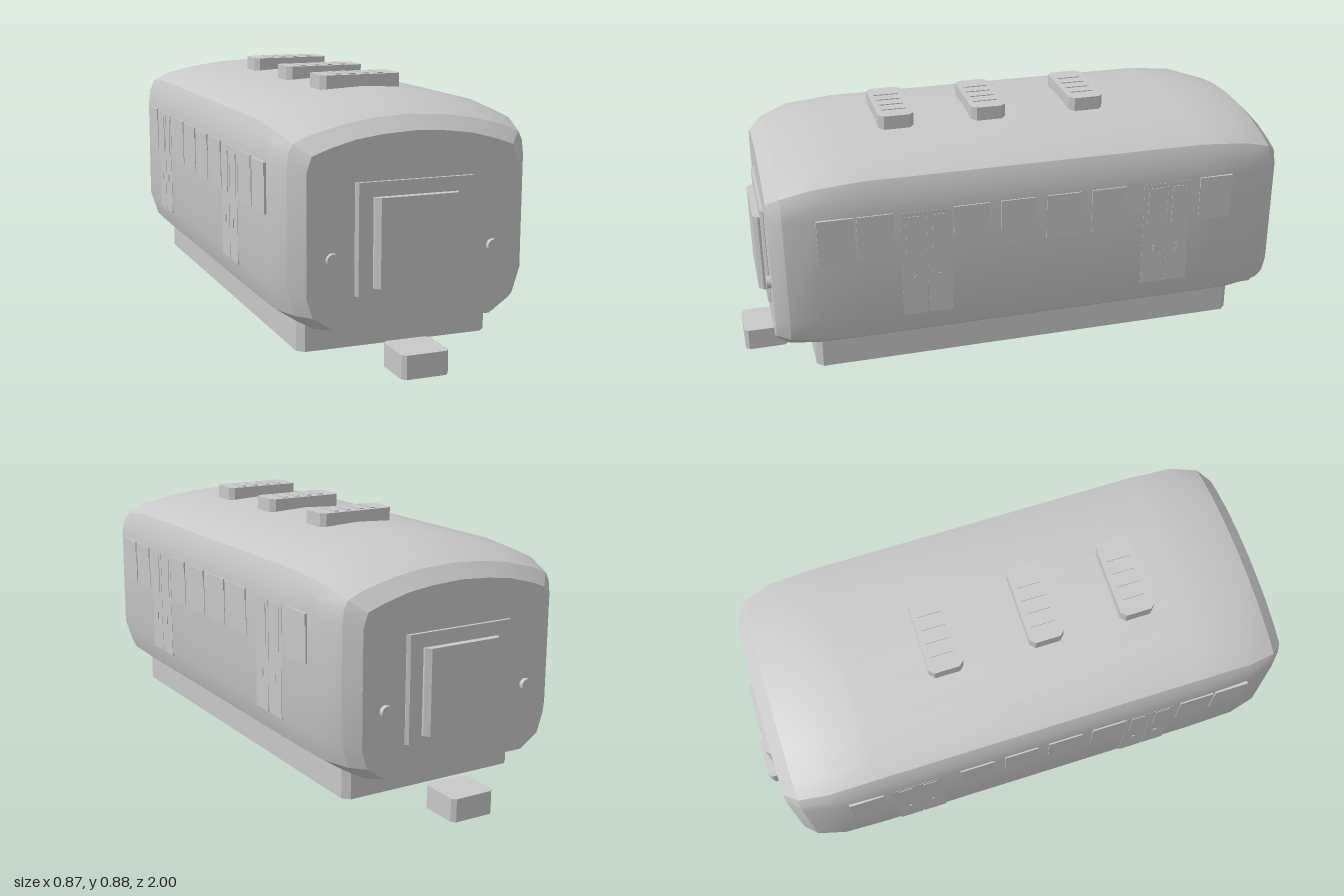
import * as THREE from 'three';
import { toCreasedNormals } from 'three/addons/utils/BufferGeometryUtils.js';

const grey = new THREE.MeshStandardMaterial({ color: 0xc8c8c8 });
grey.name = 'plain grey';

// Half cross-sections from roof centre to floor, [x, y]
const FULL = [[0, 0.836], [0.12, 0.83], [0.23, 0.816], [0.345, 0.791], [0.403, 0.762], [0.423, 0.715],
  [0.43, 0.65], [0.43, 0.28], [0.4, 0.187], [0.335, 0.145]];
const TAPER = [[0, 0.822], [0.12, 0.816], [0.23, 0.801], [0.34, 0.777], [0.4, 0.748], [0.419, 0.705],
  [0.425, 0.645], [0.425, 0.279], [0.396, 0.188], [0.332, 0.145]];
const SHOULDER = [[0, 0.79], [0.115, 0.784], [0.215, 0.769], [0.322, 0.742], [0.378, 0.718], [0.392, 0.69],
  [0.398, 0.645], [0.398, 0.275], [0.372, 0.193], [0.312, 0.146]];
const END = [[0, 0.746], [0.105, 0.74], [0.195, 0.728], [0.28, 0.705], [0.335, 0.685], [0.343, 0.664],
  [0.352, 0.635], [0.352, 0.255], [0.332, 0.193], [0.265, 0.148]];

// Loft the carriage shell through its cross-sections and cap both ends
function shellGeometry() {
  const stations = [[0.9, END], [0.855, SHOULDER], [0.755, TAPER], [0.59, FULL],
    [-0.59, FULL], [-0.755, TAPER], [-0.855, SHOULDER], [-0.9, END]];
  const rings = stations.map(([z, half]) => {
    const other = half.slice(1).reverse().map(([x, y]) => [-x, y]);
    return [...half, ...other].map(([x, y]) => [x, y, z]);
  });
  const n = rings[0].length, pos = [], index = [];
  rings.forEach(r => r.forEach(p => pos.push(...p)));
  for (let s = 0; s < rings.length - 1; s++) {
    for (let i = 0; i < n; i++) {
      const a = s * n + i, b = s * n + (i + 1) % n, c = a + n, d = b + n;
      index.push(a, b, c, b, d, c);
    }
  }
  const last = (rings.length - 1) * n, centre = pos.length / 3;
  pos.push(0, 0.45, 0.9, 0, 0.45, -0.9);
  for (let i = 0; i < n; i++) {
    const j = (i + 1) % n;
    index.push(centre, j, i, centre + 1, last + i, last + j);
  }
  const g = new THREE.BufferGeometry();
  g.setAttribute('position', new THREE.Float32BufferAttribute(pos, 3));
  g.setIndex(index);
  return toCreasedNormals(g, 0.4);
}

// Upright block with chamfered vertical corners, resting on y = 0
function chamferedBlock(w, h, d, c) {
  const x = w / 2, z = d / 2;
  const corners = [[-x + c, -z], [x - c, -z], [x, -z + c], [x, z - c],
    [x - c, z], [-x + c, z], [-x, z - c], [-x, -z + c]];
  const shape = new THREE.Shape(corners.map(p => new THREE.Vector2(...p)));
  return new THREE.ExtrudeGeometry(shape, { depth: h, bevelEnabled: false }).rotateX(-Math.PI / 2);
}

function add(parent, name, geometry, x = 0, y = 0, z = 0) {
  const m = new THREE.Mesh(geometry, grey);
  m.name = name;
  m.position.set(x, y, z);
  parent.add(m);
}

export function createModel() {
  const model = new THREE.Group();
  model.name = 'railCarriage';
  add(model, 'shell', shellGeometry());
  add(model, 'underframe', chamferedBlock(0.66, 0.105, 1.54, 0.022), 0, 0.045, 0);

  // Roof ventilators with four slats each
  for (const z of [0.425, 0.1, -0.255]) {
    const vent = new THREE.Group();
    vent.name = 'roofVent';
    vent.position.set(0, 0.825, z);
    add(vent, 'ventBox', chamferedBlock(0.285, 0.05, 0.122, 0.017));
    for (const x of [-0.075, -0.025, 0.025, 0.075]) {
      add(vent, 'ventSlat', new THREE.BoxGeometry(0.018, 0.006, 0.085), x, 0.05, 0);
    }
    model.add(vent);
  }

  // Both ends: gangway, lamps and coupler
  for (const turn of [0, Math.PI]) {
    const end = new THREE.Group();
    end.name = turn ? 'rearEnd' : 'frontEnd';
    end.rotation.y = turn;
    add(end, 'gangwayFrame', chamferedBlock(0.395, 0.35, 0.03, 0.009), 0, 0.249, 0.896);
    add(end, 'gangwayDoor', chamferedBlock(0.283, 0.281, 0.05, 0.016), 0, 0.272, 0.91);
    for (const x of [-0.27, 0.27]) {
      add(end, 'lamp', new THREE.CylinderGeometry(0.021, 0.021, 0.03, 20).rotateX(Math.PI / 2), x, 0.369, 0.9);
    }
    add(end, 'coupler', chamferedBlock(0.158, 0.077, 0.152, 0.013), 0, 0, 0.924);
    model.add(end);
  }

  // Side details as thin plates, the same on both sides
  for (const side of [-1, 1]) {
    const wall = new THREE.Group();
    wall.name = side > 0 ? 'leftSide' : 'rightSide';
    const plate = (name, z, y, w, h, out) =>
      add(wall, name, new THREE.BoxGeometry(0.008, h, w), side * (0.426 + out), y, z);
    for (const z of [0.69, 0.56, 0.235, 0.075, -0.085, -0.245, -0.64]) {
      plate('window', z, 0.57, 0.12, 0.16, 0.002);
      plate('windowSash', z, 0.63, 0.12, 0.04, 0.005);
    }
    for (const z of [0.39, -0.46]) {
      for (const k of [-1, 1]) {
        plate('doorLeaf', z + k * 0.044, 0.455, 0.084, 0.38, 0.001);
        plate('doorWindow', z + k * 0.044, 0.56, 0.05, 0.14, 0.003);
        plate('doorHandle', z + k * 0.042, 0.395, 0.01, 0.03, 0.004);
      }
    }
    model.add(wall);
  }
  return model;
}
